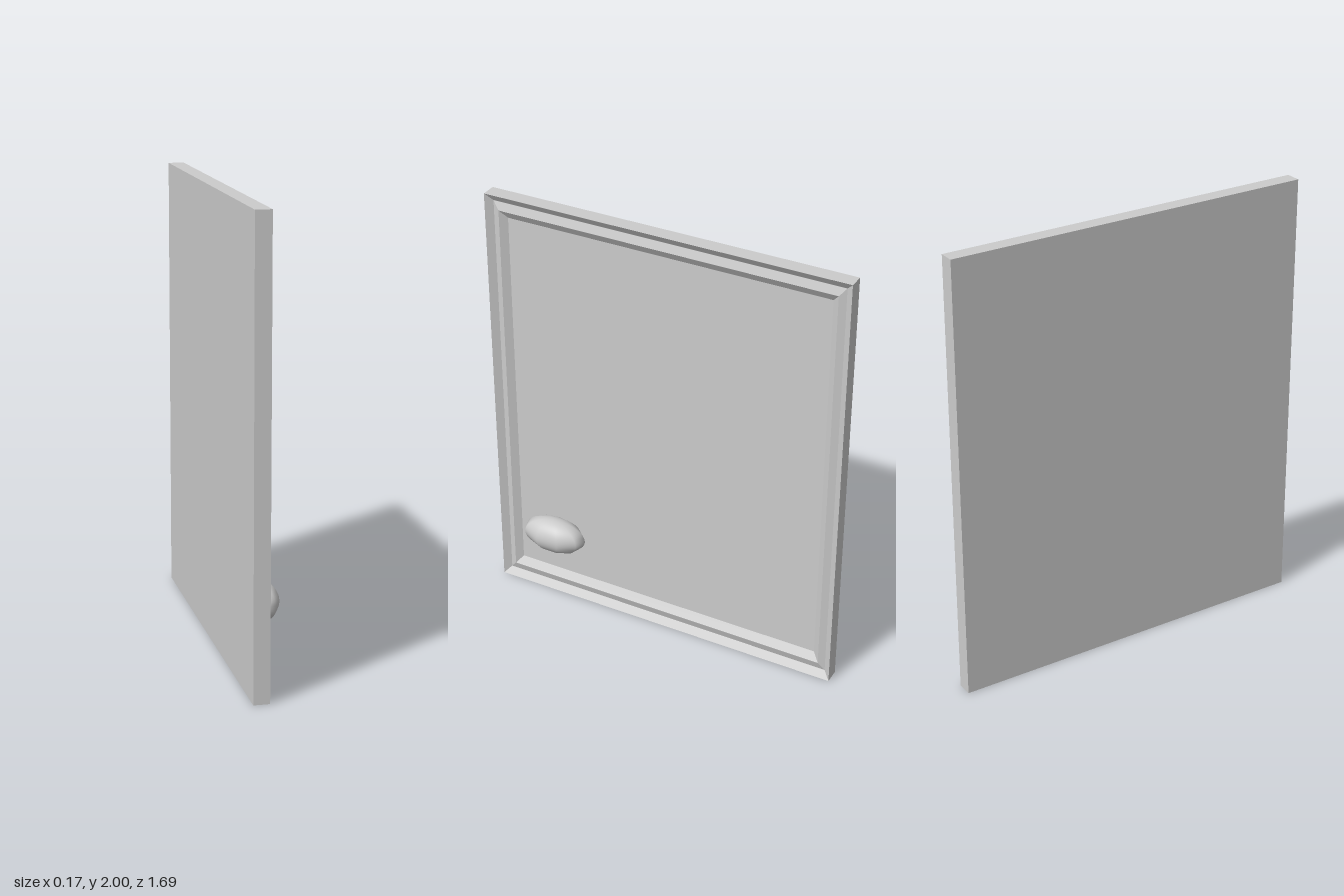
import * as THREE from 'three';

const WIDTH = 1.69, HEIGHT = 2;

// Rectangular loops from back to front: x position, inset in z, inset in y
const LOOPS = [
  [-0.085, 0, 0],
  [-0.015, 0, 0],         // outer rim
  [-0.039, 0.031, 0.034], // groove
  [-0.027, 0.061, 0.071], // raised moulding
  [-0.051, 0.092, 0.108], // recessed panel
];

function corners([x, insetZ, insetY]) {
  const z = WIDTH / 2 - insetZ, bottom = insetY, top = HEIGHT - insetY;
  return [[x, bottom, z], [x, bottom, -z], [x, top, -z], [x, top, z]];
}

// Slab with mitred moulding: join successive loops, then cap both ends
function doorGeometry() {
  const positions = [];
  const quad = (a, b, c, d) => positions.push(...a, ...b, ...c, ...a, ...c, ...d);
  const rings = LOOPS.map(corners);
  for (let i = 0; i < rings.length - 1; i++) {
    for (let k = 0; k < 4; k++) {
      const n = (k + 1) % 4;
      quad(rings[i][k], rings[i][n], rings[i + 1][n], rings[i + 1][k]);
    }
  }
  quad(...rings[rings.length - 1]);
  quad(...[...rings[0]].reverse());
  const geometry = new THREE.BufferGeometry();
  geometry.setAttribute('position', new THREE.Float32BufferAttribute(positions, 3));
  geometry.computeVertexNormals();
  return geometry;
}

export function createModel() {
  const model = new THREE.Group();
  model.name = 'cabinetDoor';
  const material = new THREE.MeshStandardMaterial({ color: 0xcccccc });

  const door = new THREE.Mesh(doorGeometry(), material);
  door.name = 'doorPanel';
  model.add(door);

  // Oval knob: nine sides around, smooth from top to bottom
  const knob = new THREE.Mesh(new THREE.SphereGeometry(1, 9, 32), material);
  knob.name = 'knob';
  knob.scale.set(0.08, 0.083, 0.155);
  knob.position.set(0.01, 0.345, 0.54);
  model.add(knob);

  return model;
}
